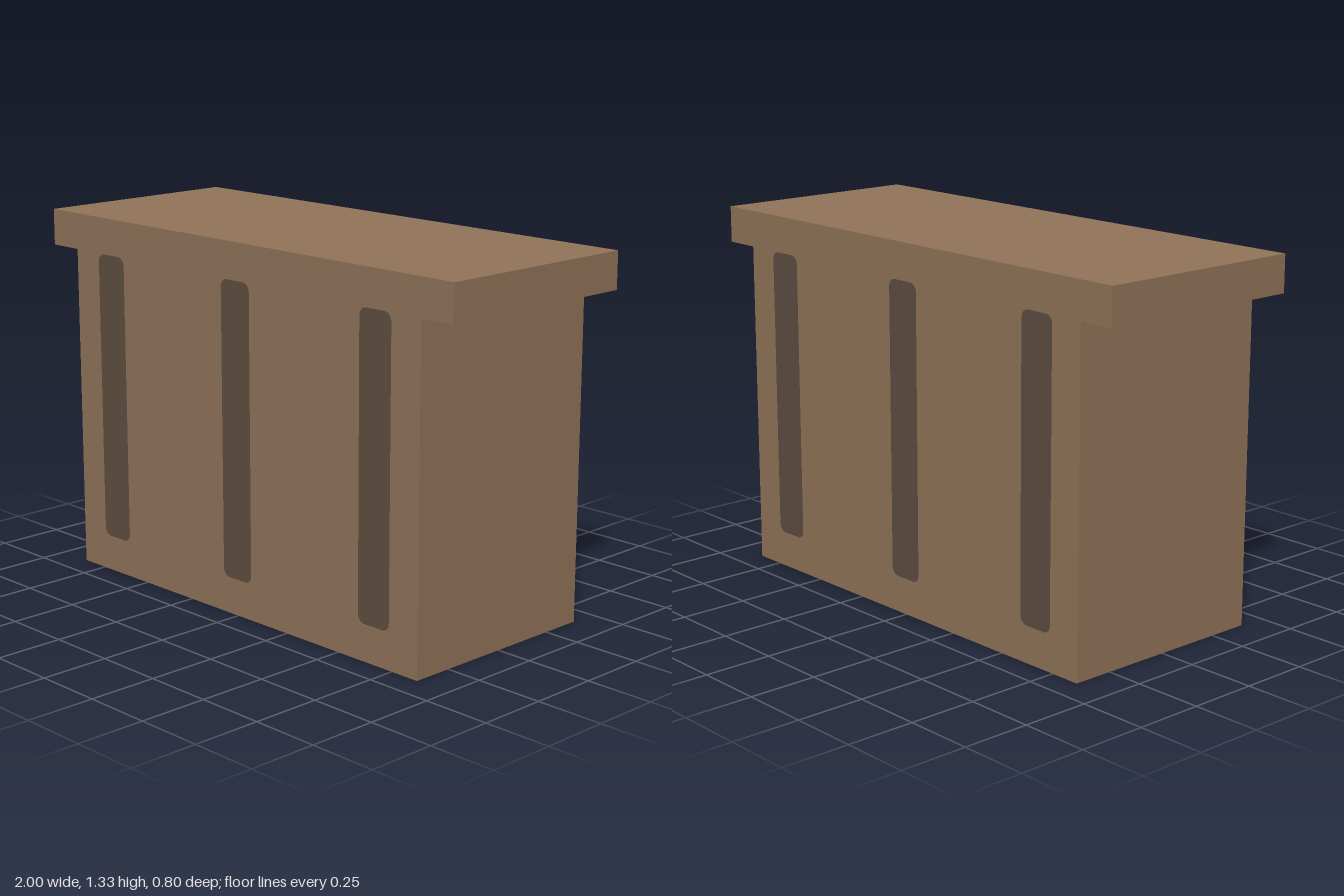
import * as THREE from 'three';

const DEPTH = 0.8;

// Rounded rectangle outline centred on the origin
function roundedRect(w, h, r) {
  const x = w / 2, y = h / 2;
  const s = new THREE.Shape();
  s.absarc(x - r, y - r, r, 0, Math.PI / 2);
  s.absarc(-x + r, y - r, r, Math.PI / 2, Math.PI);
  s.absarc(-x + r, -y + r, r, Math.PI, Math.PI * 1.5);
  s.absarc(x - r, -y + r, r, Math.PI * 1.5, Math.PI * 2);
  s.closePath();
  return s;
}

export function createModel() {
  const group = new THREE.Group();
  group.name = 'counter';

  const wood = new THREE.MeshStandardMaterial({ color: 0x92755a });
  wood.name = 'wood brown';
  const darkWood = new THREE.MeshStandardMaterial({ color: 0x5f4e41 });
  darkWood.name = 'dark brown';

  function addBox(name, width, bottom, top) {
    const mesh = new THREE.Mesh(new THREE.BoxGeometry(width, top - bottom, DEPTH), wood);
    mesh.name = name;
    mesh.position.y = (bottom + top) / 2;
    group.add(mesh);
  }

  // Body and overhanging top, flush at front and back
  addBox('body', 1.727, 0, 1.2);
  addBox('countertop', 2, 1.2, 1.333);

  // Three thin painted strips on the front and on the back
  const stripGeometry = new THREE.ShapeGeometry(roundedRect(0.142, 1.067, 0.03), 6);
  for (const side of [1, -1]) {
    for (const x of [-0.666, 0, 0.666]) {
      const strip = new THREE.Mesh(stripGeometry, darkWood);
      strip.name = side > 0 ? 'frontStrip' : 'backStrip';
      strip.position.set(x, 0.667, side * (DEPTH / 2 + 0.002));
      if (side < 0) strip.rotation.y = Math.PI;
      group.add(strip);
    }
  }

  return group;
}
